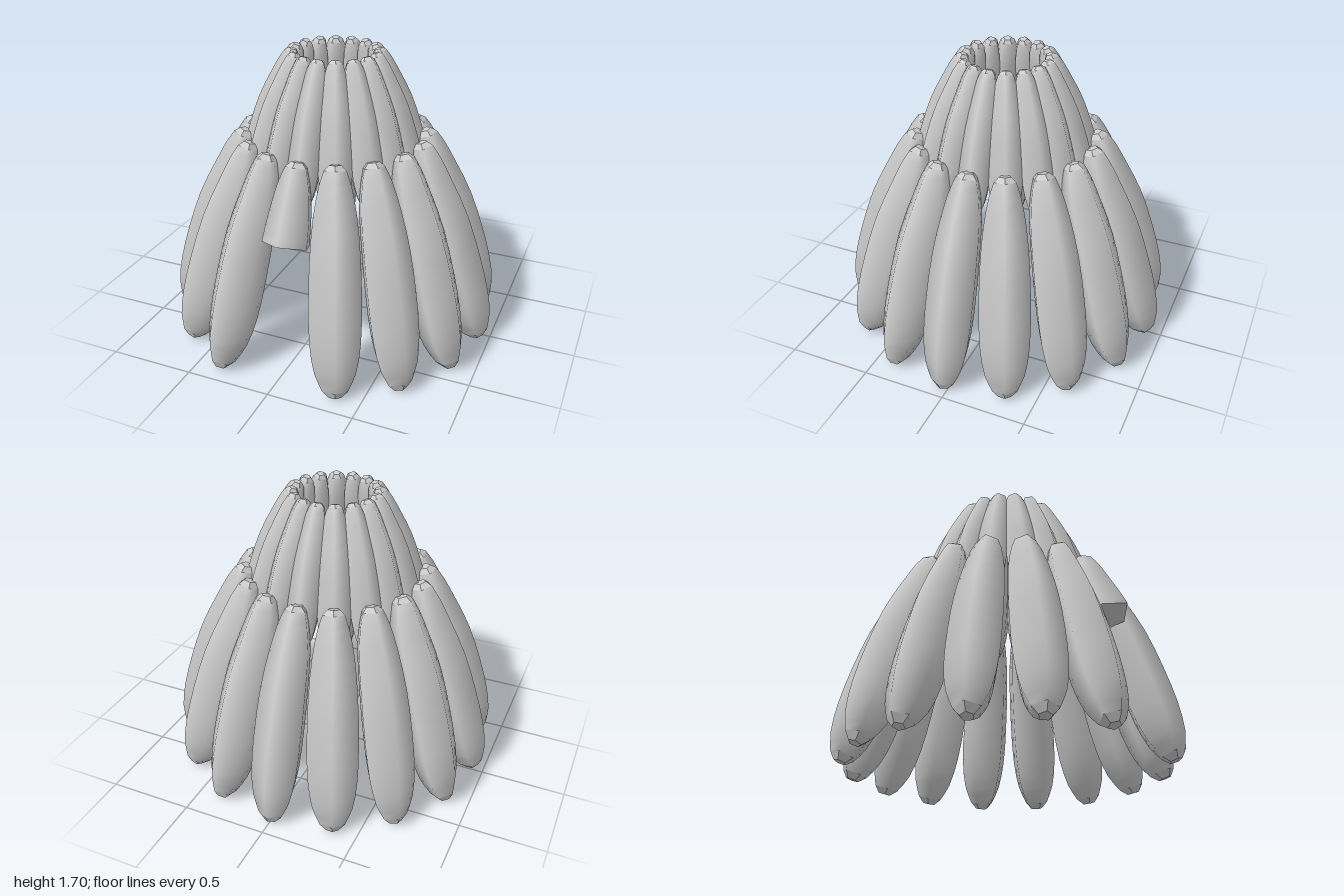
import * as THREE from 'three';
import { mergeGeometries } from 'three/addons/utils/BufferGeometryUtils.js';

const COUNT = 16, SIDES = 5, STEPS = 14;

// Centre line of one fruit in the y/z plane; x carries the cross-section radius.
const spine = new THREE.CatmullRomCurve3([
  [0.064, 1.18, 0.53], [0.092, 1.10, 0.555], [0.122, 0.95, 0.605],
  [0.142, 0.75, 0.685], [0.150, 0.52, 0.760], [0.145, 0.30, 0.828],
  [0.118, 0.14, 0.880], [0.074, 0.045, 0.915],
].map(p => new THREE.Vector3(...p)));

// Five-sided ring around the centre line, one ridge facing outwards.
function ring(t, scale = 1, push = 0) {
  const p = spine.getPoint(t), d = spine.getTangent(t);
  const l = Math.hypot(d.y, d.z), ty = d.y / l, tz = d.z / l;
  return Array.from({ length: SIDES }, (_, j) => {
    const a = j / SIDES * Math.PI * 2;
    const side = Math.sin(a) * p.x * scale, out = Math.cos(a) * p.x * scale;
    return [side, p.y + ty * push + tz * out, p.z + tz * push - ty * out];
  });
}

// Skin a row of rings, smooth or faceted.
function loft(rings, smooth) {
  const index = [];
  for (let i = 0; i < rings.length - 1; i++) {
    for (let j = 0; j < SIDES; j++) {
      const a = i * SIDES + j, b = i * SIDES + (j + 1) % SIDES;
      index.push(a, a + SIDES, b, b, a + SIDES, b + SIDES);
    }
  }
  const g = new THREE.BufferGeometry();
  g.setAttribute('position', new THREE.Float32BufferAttribute(rings.flat(2), 3));
  g.setIndex(index);
  if (smooth) g.computeVertexNormals();
  const flat = g.toNonIndexed();
  if (!smooth) flat.computeVertexNormals();
  return flat;
}

// Whole fruit, or one cut straight across at `end`.
function fruitGeometry(end = 1) {
  const body = Array.from({ length: STEPS + 1 }, (_, i) => ring(end * i / STEPS));
  const stem = [ring(0, 0, -0.028), ring(0, 0.55, -0.028), ring(0)];
  const tip = end < 1
    ? [ring(end), ring(end, 0)]
    : [ring(1), ring(1, 0.5, 0.038), ring(1, 0, 0.038)];
  return mergeGeometries([loft(body, true), loft(stem, false), loft(tip, false)]);
}

export function createModel() {
  const group = new THREE.Group();
  const material = new THREE.MeshStandardMaterial({ color: 0xcccccc });
  const whole = fruitGeometry();
  const cut = fruitGeometry(2.85 / 7);

  // Upper tier: the same fruit, smaller and drawn in towards the axis
  const small = whole.clone().scale(0.66, 0.66, 0.66).translate(0, 0.895, -0.105);

  const lowerTier = new THREE.Group();
  lowerTier.name = 'lowerTier';
  const upperTier = new THREE.Group();
  upperTier.name = 'upperTier';
  for (let i = 0; i < COUNT; i++) {
    const angle = i / COUNT * Math.PI * 2;
    // The front fruit of the lower tier is cut short
    const lower = new THREE.Mesh(i === 0 ? cut : whole, material);
    lower.name = i === 0 ? 'cutBanana' : 'lowerBanana';
    lower.rotation.y = angle;
    lowerTier.add(lower);

    const upper = new THREE.Mesh(small, material);
    upper.name = 'upperBanana';
    upper.rotation.y = angle;
    upperTier.add(upper);
  }
  group.add(lowerTier, upperTier);
  lowerTier.position.z = upperTier.position.z = 0.03;
  return group;
}
